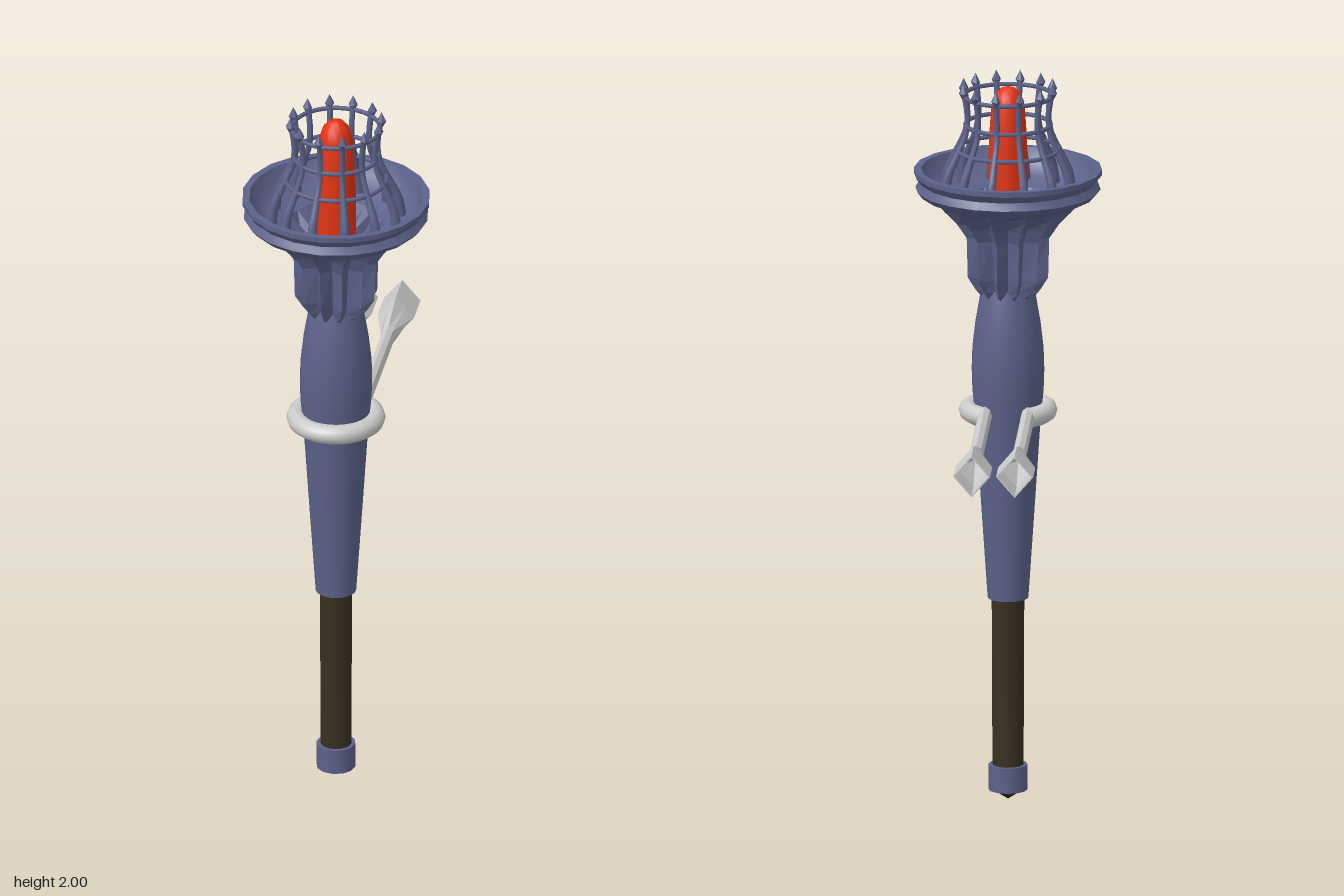
import * as THREE from 'three';
import { toCreasedNormals } from 'three/addons/utils/BufferGeometryUtils.js';

const AXIS_Z = 0.225; // the torch stands forward of the origin, the bracket reaches back
const V = (x, y, z) => new THREE.Vector3(x, y, z);
const mat = (color, extra = {}) => new THREE.MeshStandardMaterial({ color, side: THREE.DoubleSide, ...extra });

function add(parent, name, geometry, material) {
  const mesh = new THREE.Mesh(geometry, material);
  mesh.name = name;
  parent.add(mesh);
  return mesh;
}

// Turned part from [radius, y] pairs, listed bottom to top
function turned(points, segments = 24, crease = 0.6) {
  const g = new THREE.LatheGeometry(points.map(([r, y]) => new THREE.Vector2(r, y)), segments);
  return toCreasedNormals(g, crease);
}

// Skin a list of closed rings that all have the same number of points
function loft(rings) {
  const n = rings[0].length, index = [];
  for (let j = 0; j < rings.length - 1; j++)
    for (let i = 0; i < n; i++) {
      const a = j * n + i, b = j * n + (i + 1) % n;
      index.push(a, a + n, b, b, a + n, b + n);
    }
  const g = new THREE.BufferGeometry().setFromPoints(rings.flat());
  g.setIndex(index);
  g.computeVertexNormals();
  return g;
}

// Star-shaped section rows: [ridge radius, groove radius, y]
function fluted(rows, lobes = 12) {
  return loft(rows.map(([ridge, groove, y]) => Array.from({ length: lobes * 2 }, (_, i) => {
    const a = (i / (lobes * 2)) * Math.PI * 2 + 0.21, r = i % 2 ? groove : ridge;
    return V(Math.cos(a) * r, y, Math.sin(a) * r);
  })));
}

// Tube whose thickness follows a function of t along the path
function taperedTube(curve, radius, segments = 12, sides = 8) {
  const g = new THREE.TubeGeometry(curve, segments, 1, sides);
  const p = g.attributes.position, v = V(0, 0, 0);
  for (let i = 0; i < p.count; i++) {
    const t = Math.floor(i / (sides + 1)) / segments, c = curve.getPointAt(t);
    v.fromBufferAttribute(p, i).sub(c).multiplyScalar(radius(t)).add(c);
    p.setXYZ(i, v.x, v.y, v.z);
  }
  return g;
}

export function createModel() {
  const model = new THREE.Group();
  model.name = 'wallTorch';
  const torch = new THREE.Group();
  torch.name = 'torch';
  torch.position.z = AXIS_Z;
  model.add(torch);

  const metal = mat(0x5c628a), metalFlat = mat(0x5c628a, { flatShading: true });
  const wood = mat(0x383020), red = mat(0xe23412), grey = mat(0xcccccc);
  const greyFlat = mat(0xcccccc, { flatShading: true });

  // Handle, end cap and pointed tip
  add(torch, 'handle', turned([[0, 0.09], [0.042, 0.09], [0.044, 0.57], [0, 0.57]], 16), wood);
  add(torch, 'tip', turned([[0, 0], [0.045, 0.03]], 12), wood);
  add(torch, 'endCap', turned([[0, 0.025], [0.053, 0.027], [0.053, 0.097], [0, 0.097]], 12), metal);

  // Swelling shaft
  add(torch, 'shaft', turned([[0.04, 0.562], [0.055, 0.562], [0.071, 0.8], [0.088, 1.06], [0.096, 1.14],
    [0.098, 1.2], [0.096, 1.26], [0.088, 1.33], [0.076, 1.4], [0.065, 1.44]]), metal);

  // Fluted capital under the dish
  add(torch, 'capital', fluted([[0.07, 0.062, 1.4], [0.09, 0.066, 1.425], [0.112, 0.074, 1.46], [0.115, 0.085, 1.57],
    [0.142, 0.105, 1.61], [0.175, 0.145, 1.645], [0.2, 0.195, 1.672]]), metalFlat);

  // Dish with grooved rim and pleated well
  add(torch, 'dish', turned([[0.17, 1.655], [0.2, 1.67], [0.235, 1.685], [0.25, 1.702], [0.238, 1.722], [0.254, 1.742],
    [0.254, 1.756], [0.235, 1.756], [0.22, 1.715], [0.19, 1.688], [0.13, 1.672]], 20), metal);
  add(torch, 'well', fluted([[0.13, 0.13, 1.672], [0.1, 0.06, 1.61], [0.03, 0.03, 1.57], [0, 0, 1.57]]), metalFlat);

  // Glowing core
  add(torch, 'flame', turned([[0.054, 1.57], [0.054, 1.76], [0.05, 1.86], [0.045, 1.93], [0.036, 1.962],
    [0.02, 1.98], [0, 1.986]], 20, 1.2), red);

  // Cage of twelve curved bars with pointed finials
  const cage = new THREE.Group();
  cage.name = 'cage';
  torch.add(cage);
  const path = new THREE.CatmullRomCurve3([[0.176, 1.685], [0.168, 1.74], [0.142, 1.8], [0.117, 1.86],
    [0.113, 1.91], [0.122, 1.975]].map(([r, y]) => V(r, y, 0)));
  const barGeo = taperedTube(path, t => 0.008 + 0.007 * Math.max(0, 1 - t * 2));
  const finialGeo = turned([[0, 1.95], [0.013, 1.973], [0, 2]], 6, 0.1);
  for (let i = 0; i < 12; i++) {
    const spoke = new THREE.Group();
    spoke.name = 'cageSpoke';
    spoke.rotation.y = -(0.21 + i * Math.PI / 6);
    add(spoke, 'bar', barGeo, metal);
    add(spoke, 'finial', finialGeo, metal).position.x = 0.124;
    cage.add(spoke);
  }
  for (const [r, y] of [[0.137, 1.81], [0.115, 1.88], [0.119, 1.96]]) {
    const hoop = add(cage, 'hoop', new THREE.TorusGeometry(r, 0.006, 6, 36), metal);
    hoop.rotation.x = Math.PI / 2;
    hoop.position.y = y;
  }

  // Collar gripping the shaft, open at the back between the arms
  const R = 0.106, armX = 0.058, gap = Math.asin(armX / R), armY = 1.085;
  const collar = add(torch, 'collar', new THREE.TorusGeometry(R, 0.027, 10, 40, Math.PI * 2 - gap * 2), grey);
  collar.rotation.set(Math.PI / 2, 0, gap - Math.PI / 2);
  collar.position.y = armY;

  // Arms: eight-sided rod widening to an open, square socket set on edge
  const section = (z, rx, ry, square) => Array.from({ length: 8 }, (_, i) => {
    const a = i * Math.PI / 4, c = Math.cos(a), s = Math.sin(a);
    const k = square ? 1 / (Math.abs(c) + Math.abs(s)) : 1;
    return V(c * k * rx, s * k * ry, z);
  });
  const armGeo = loft([
    section(0.15, 0.02, 0.027), section(0.1, 0.019, 0.027), section(-0.255, 0.019, 0.027),
    section(-0.38, 0.05, 0.058, true), section(-0.48, 0.05, 0.058, true),
    section(-0.48, 0.045, 0.052, true), section(-0.39, 0.045, 0.052, true), section(-0.3, 0.001, 0.001),
  ]);
  for (const side of [1, -1])
    add(model, side > 0 ? 'leftArm' : 'rightArm', armGeo, greyFlat).position.set(side * armX, armY, 0);

  return model;
}
